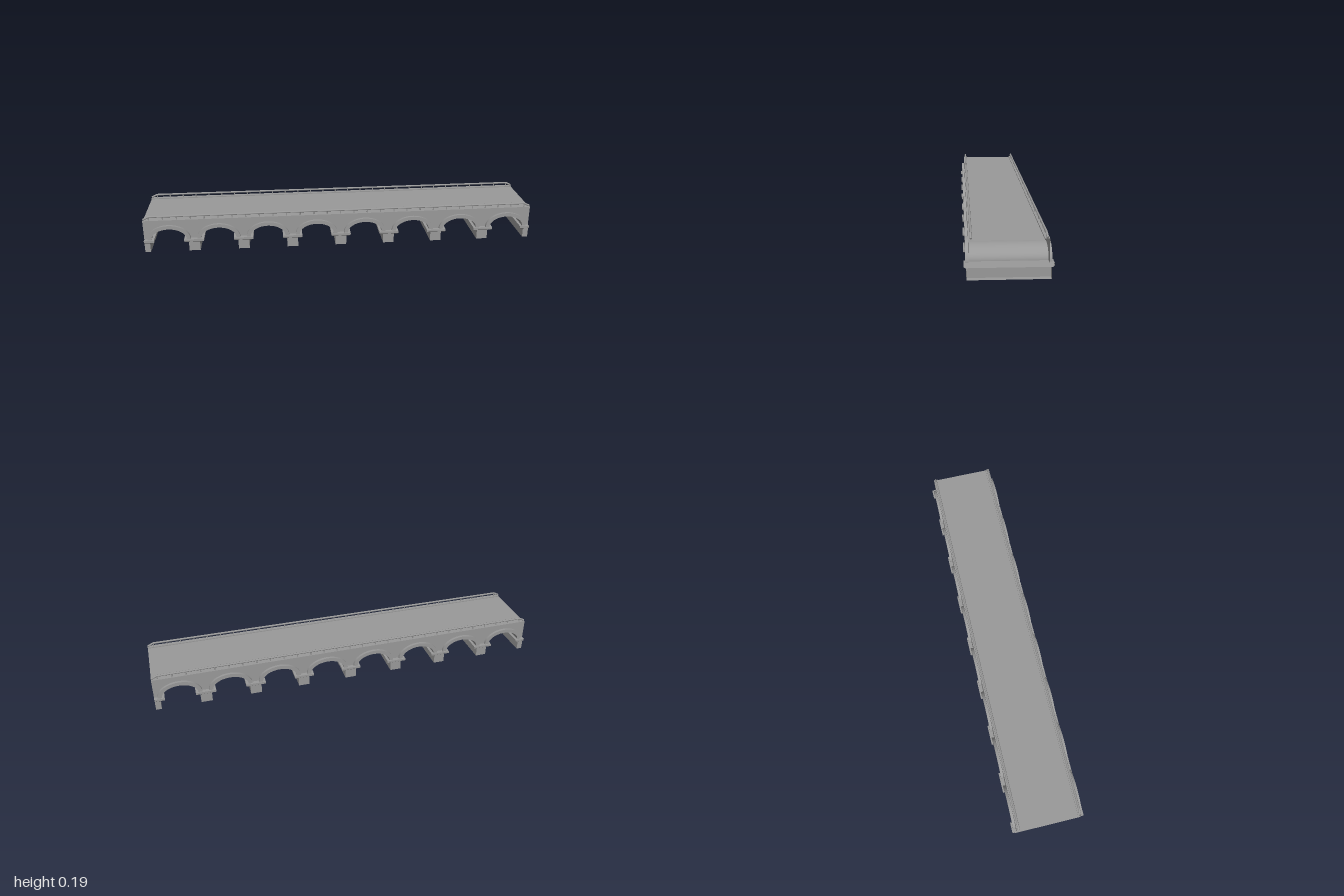
import * as THREE from 'three';

const SPANS = 8, PITCH = 0.25;
const SPRING = 0.067, WALL_Z = 0.162, KERB_Y = 0.168, DECK_Y = 0.163, DECK_Z = 0.142;
const IN_X = 0.088, IN_Y = 0.056, OUT_X = 0.108, OUT_Y = 0.075;

const solid = new THREE.MeshStandardMaterial({ color: 0x999999 });
const thin = new THREE.MeshStandardMaterial({ color: 0x999999, side: THREE.DoubleSide });

function add(parent, name, geometry, material = solid) {
  const mesh = new THREE.Mesh(geometry, material);
  mesh.name = name;
  parent.add(mesh);
  return mesh;
}

// Block centred on x, cut open at the bridge ends; the bottom may be narrower than the top
function block(x, y0, y1, halfX, halfZ, inset = 0) {
  const geo = new THREE.BoxGeometry(2, 2, 2);
  const p = geo.attributes.position;
  for (let i = 0; i < p.count; i++) {
    const low = p.getY(i) < 0;
    const d = low ? inset : 0;
    p.setXYZ(i,
      THREE.MathUtils.clamp(x + p.getX(i) * (halfX - d), -1, 1),
      low ? y0 : y1,
      p.getZ(i) * (halfZ - d));
  }
  // Leave out the face on the cut: the first six indices are +x, the next six -x
  const index = Array.from(geo.index.array);
  if (x === 1) index.splice(0, 6);
  if (x === -1) index.splice(6, 6);
  geo.setIndex(index);
  geo.clearGroups();
  geo.computeVertexNormals();
  return geo;
}

// Spandrel wall outline with an arch bitten out for every span
function wallShape() {
  const s = new THREE.Shape();
  s.moveTo(-1, KERB_Y);
  s.lineTo(-1, SPRING);
  for (let i = 0; i < SPANS; i++) {
    const cx = -1 + PITCH * (i + 0.5);
    s.lineTo(cx - IN_X, SPRING);
    s.absellipse(cx, SPRING, IN_X, IN_Y, Math.PI, 0, true);
  }
  s.lineTo(1, SPRING);
  s.lineTo(1, KERB_Y);
  return s;
}

// Raised half-elliptical arch band
function ringShape() {
  const s = new THREE.Shape();
  s.moveTo(OUT_X, 0);
  s.absellipse(0, 0, OUT_X, OUT_Y, 0, Math.PI, false);
  s.lineTo(-IN_X, 0);
  s.absellipse(0, 0, IN_X, IN_Y, Math.PI, 0, true);
  return s;
}

// Half-elliptical vault running across the bridge
function vault() {
  const geo = new THREE.CylinderGeometry(1, 1, 2 * WALL_Z, 28, 1, true, -Math.PI / 2, Math.PI);
  geo.rotateX(-Math.PI / 2);
  geo.scale(IN_X, IN_Y, 1);
  return geo;
}

// Eight-sided bar between two points in the railing plane
function bar(parent, name, x0, y0, x1, y1, radius) {
  const mesh = add(parent, name, new THREE.CylinderGeometry(radius, radius, Math.hypot(x1 - x0, y1 - y0), 8));
  mesh.position.set((x0 + x1) / 2, (y0 + y1) / 2, 0);
  mesh.rotation.z = Math.atan2(x0 - x1, y1 - y0);
}

// One long side: wall, arch bands, kerb and railing, modelled for +z
function buildSide(name) {
  const side = new THREE.Group();
  side.name = name;
  add(side, 'spandrelWall', new THREE.ShapeGeometry(wallShape(), 24), thin).position.z = WALL_Z;

  const ring = new THREE.ExtrudeGeometry(ringShape(), { depth: 0.013, bevelEnabled: false, curveSegments: 28 });
  for (let i = 0; i < SPANS; i++) {
    add(side, 'archBand', ring).position.set(-1 + PITCH * (i + 0.5), SPRING, WALL_Z);
  }

  // Kerb top and its small step down to the deck
  const kerbTop = add(side, 'kerbTop', new THREE.PlaneGeometry(2, WALL_Z - DECK_Z), thin);
  kerbTop.rotation.x = -Math.PI / 2;
  kerbTop.position.set(0, KERB_Y, (WALL_Z + DECK_Z) / 2);
  const kerbFace = add(side, 'kerbFace', new THREE.PlaneGeometry(2, KERB_Y - DECK_Y), thin);
  kerbFace.rotation.y = Math.PI;
  kerbFace.position.set(0, (KERB_Y + DECK_Y) / 2, DECK_Z);

  // Railing: top bar, sloping ends and evenly spaced posts
  const rail = new THREE.Group();
  rail.name = 'railing';
  rail.position.z = 0.152;
  side.add(rail);
  bar(rail, 'topRail', -0.972, 0.1855, 0.972, 0.1855, 0.005);
  for (const e of [-1, 1]) bar(rail, 'railEnd', e * 0.97, 0.1855, e * 0.998, 0.172, 0.005);
  for (let i = 0; i <= 28; i++) {
    const x = -0.97 + i * 1.94 / 28;
    bar(rail, 'railPost', x, KERB_Y, x, 0.185, 0.003);
  }
  return side;
}

export function createModel() {
  const bridge = new THREE.Group();
  bridge.name = 'archedBridge';

  // Piers with projecting caps, cut in half and left open at both ends
  for (let i = 0; i <= SPANS; i++) {
    const x = -1 + PITCH * i;
    add(bridge, 'pier', block(x, 0, 0.052, 0.028, 0.171), thin);
    add(bridge, 'pierCapBase', block(x, 0.051, 0.056, 0.05, 0.182, 0.006), thin);
    add(bridge, 'pierCap', block(x, 0.056, SPRING, 0.05, 0.182), thin);
  }

  // Vaults between the piers
  const vaultGeo = vault();
  for (let i = 0; i < SPANS; i++) {
    add(bridge, 'vault', vaultGeo, thin).position.set(-1 + PITCH * (i + 0.5), SPRING, 0);
  }

  // Road deck
  const deck = add(bridge, 'deck', new THREE.PlaneGeometry(2, 2 * DECK_Z), thin);
  deck.rotation.x = -Math.PI / 2;
  deck.position.y = DECK_Y;

  // Matching front and back sides
  bridge.add(buildSide('frontSide'));
  const back = buildSide('backSide');
  back.rotation.y = Math.PI;
  bridge.add(back);
  return bridge;
}
